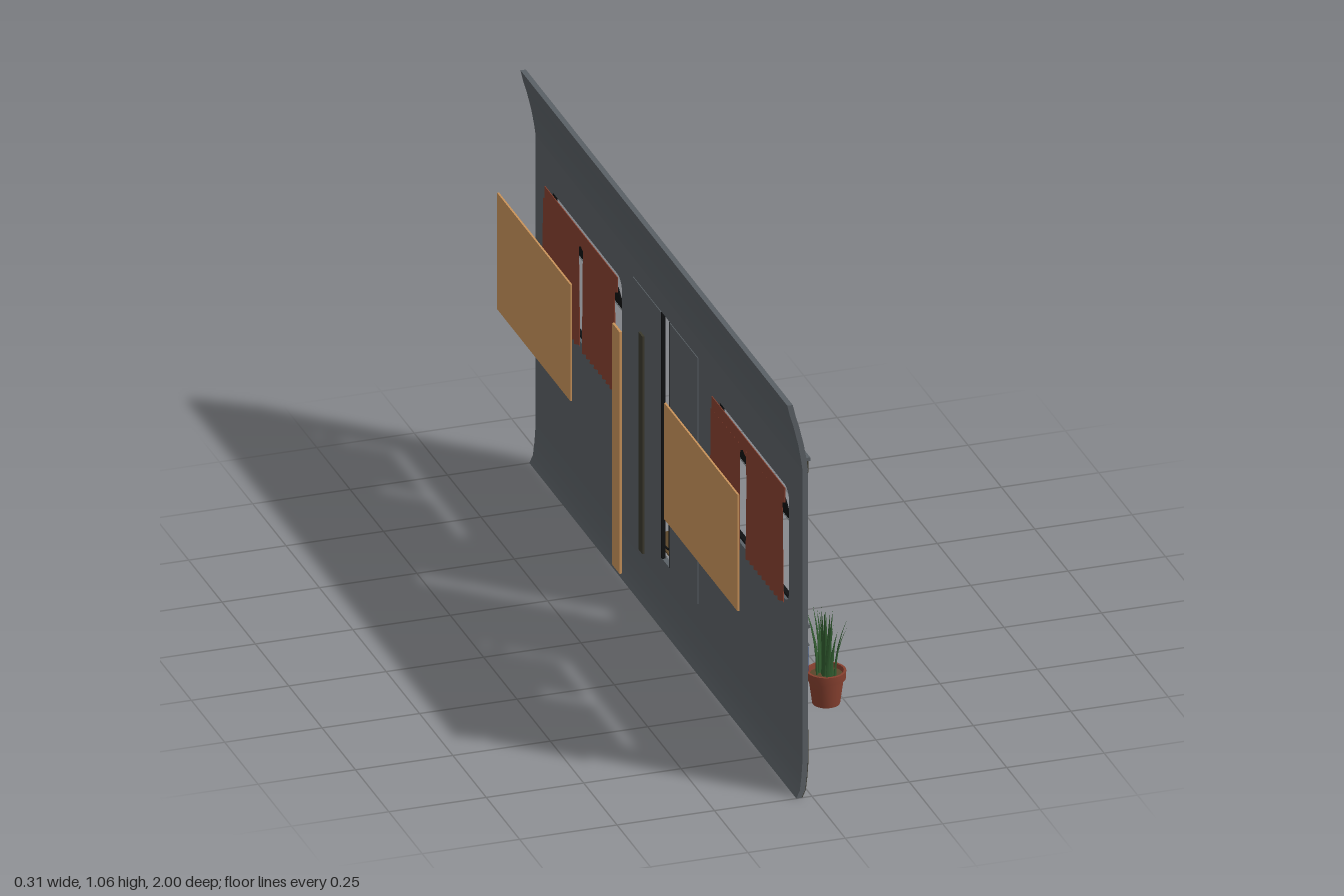
import * as THREE from 'three';
import { toCreasedNormals } from 'three/addons/utils/BufferGeometryUtils.js';

const mat = (name, color, side = THREE.FrontSide) => {
  const m = new THREE.MeshStandardMaterial({ color, side });
  m.name = name;
  return m;
};

export function createModel() {
  const M = {
    wall: mat('steel grey', 0x5a6065),
    grime: mat('olive grime', 0x3b392d),
    blue: mat('stripe blue', 0x2c4a86),
    red: mat('terracotta red', 0x86402f, THREE.DoubleSide),
    black: mat('rubber black', 0x101112),
    wood: mat('warm wood', 0xc8925a),
    crate: mat('weathered wood', 0x7a6c5e),
    brown: mat('mat brown', 0x5a4529),
    green: mat('leaf green', 0x2f5a2e, THREE.DoubleSide),
    light: mat('pale metal', 0x878d91),
  };
  // Working frame: x along the wall, y up, z outward; turned to face +x at the end
  const car = new THREE.Group();
  car.name = 'carriageSide';
  const FACE = -0.01, T = 0.014;

  const add = (name, geo, m, parent = car) => {
    const mesh = new THREE.Mesh(geo, m);
    mesh.name = name;
    parent.add(mesh);
    return mesh;
  };
  const box = (name, x0, x1, y0, y1, z0, z1, m, parent) => {
    const b = add(name, new THREE.BoxGeometry(x1 - x0, y1 - y0, z1 - z0), m, parent);
    b.position.set((x0 + x1) / 2, (y0 + y1) / 2, (z0 + z1) / 2);
    return b;
  };
  const poly = pts => new THREE.Shape(pts.map(p => new THREE.Vector2(p[0], p[1])));
  const rect = (x0, x1, y0, y1) => poly([[x0, y0], [x1, y0], [x1, y1], [x0, y1]]);
  const rounded = (x0, x1, y0, y1, r) => {
    const s = new THREE.Shape();
    s.absarc(x1 - r, y0 + r, r, -Math.PI / 2, 0);
    s.absarc(x1 - r, y1 - r, r, 0, Math.PI / 2);
    s.absarc(x0 + r, y1 - r, r, Math.PI / 2, Math.PI);
    s.absarc(x0 + r, y0 + r, r, Math.PI, Math.PI * 1.5);
    return s;
  };
  const plate = (name, shape, z, depth, m) => {
    const g = new THREE.ExtrudeGeometry(shape, { depth, bevelEnabled: false, curveSegments: 6 });
    return add(name, g.translate(0, 0, z), m);
  };
  // Sweeps an outer (z, y) profile of given thickness along the whole wall
  const sweep = (name, pts, thick, m) => {
    const back = pts.map(p => [p[0] - thick, p[1]]).reverse();
    const g = new THREE.ExtrudeGeometry(poly([...pts, ...back]), { depth: 2, bevelEnabled: false });
    g.rotateY(-Math.PI / 2).translate(1, 0, 0);
    add(name, toCreasedNormals(g, 0.5), m);
  };
  const tube = (name, pts, r, m) => {
    const path = new THREE.CurvePath();
    const v = pts.map(p => new THREE.Vector3(...p));
    for (let i = 1; i < v.length; i++) path.add(new THREE.LineCurve3(v[i - 1], v[i]));
    add(name, new THREE.TubeGeometry(path, 24, r, 6), m);
  };

  // Wall with window and door openings, curved roof edge and tucked-in sill
  const wall = rect(-1, 1, 0.1, 0.88);
  const W = [[-0.9, -0.352], [0.352, 0.9]], Y0 = 0.475, Y1 = 0.783;
  W.forEach(([a, b]) => wall.holes.push(rounded(a, b, Y0, Y1, 0.035)));
  wall.holes.push(rect(-0.222, 0.23, 0.168, 0.83));
  plate('wallPanel', wall, FACE - T, T, M.wall);
  sweep('roofEdge', [[-0.01, 0.88], [-0.014, 0.91], [-0.021, 0.95], [-0.033, 1], [-0.042, 1.03], [-0.049, 1.06]], T, M.wall);
  const sill = [[-0.026, 0], [-0.017, 0.02], [-0.013, 0.055], [-0.01, 0.1]];
  sweep('sill', sill, T, M.wall);
  sweep('sillGrime', sill.map(p => [p[0] + 0.0015, p[1]]), 0.001, M.grime);

  // Uneven dirt along the bottom and under the gutter
  const low = [[-1, 0.1], [1, 0.1], [1, 0.17], [0.8, 0.17], [0.72, 0.165], [0.5, 0.168], [0.36, 0.17], [0.32, 0.16], [0.29, 0.172], [0.23, 0.166], [-0.22, 0.166],
    [-0.27, 0.178], [-0.34, 0.16], [-0.4, 0.148], [-0.48, 0.16], [-0.52, 0.18], [-0.6, 0.176], [-0.7, 0.18], [-0.77, 0.19], [-0.85, 0.172], [-1, 0.18]];
  plate('lowerGrime', poly(low), FACE, 0.0015, M.grime);
  const high = [[-1, 0.905], [-1, 0.872]];
  for (let i = 1; i < 20; i++) high.push([-1 + i / 10, 0.874 + 0.004 * Math.sin(i * 2.3)]);
  high.push([1, 0.872], [1, 0.905]);
  plate('upperGrime', poly(high), FACE - 0.002, 0.003, M.grime);
  box('gutter', -1, 1, 0.903, 0.912, -0.016, -0.004, M.wall);
  [[-0.435, 0.77, 0.88], [0.265, 0.76, 0.88], [-0.375, 0.37, 0.46], [0.875, 0.4, 0.46]].forEach(([x, a, b], i) =>
    box('streak', x - 0.003, x + 0.003, a, b, FACE, FACE + 0.002, i < 2 ? M.grime : M.brown));
  [[-0.71, 0.153, 0.02], [-0.36, 0.057, 0.032], [0.24, 0.153, 0.024]].forEach(([x, y, r]) => {
    const p = add('rustPatch', new THREE.CylinderGeometry(r, r, 0.004, 9), M.brown);
    p.rotation.x = Math.PI / 2;
    p.scale.z = 0.4;
    p.position.set(x, y, FACE + 0.0005);
  });

  // Stripe, mouldings and seams on each side of the door
  [[-1, -0.222], [0.23, 1]].forEach(([a, b]) => {
    box('blueStripe', a, b, 0.337, 0.403, FACE, FACE + 0.0015, M.blue);
    box('moulding', a, b, 0.453, 0.462, FACE, FACE + 0.005, M.wall);
    box('moulding', a, b, 0.405, 0.41, FACE, FACE + 0.004, M.wall);
  });
  [[-0.967, 0.18, 0.87], [0.967, 0.18, 0.87], [-0.967, 0.02, 0.085], [0.967, 0.02, 0.085], [-0.755, 0.18, 0.335], [0.3, 0.17, 0.335]].forEach(([x, a, b]) =>
    box('seam', x - 0.002, x + 0.002, a, b, FACE - 0.004, FACE + 0.002, M.black));

  // Windows: rubber frame, tilted hopper glass, valance, pleated curtains, board behind
  const gaps = [[-0.618, -0.582], [0.602, 0.63]];
  W.forEach(([a, b], k) => {
    const frame = rounded(a - 0.008, b + 0.008, Y0 - 0.008, Y1 + 0.008, 0.043);
    frame.holes.push(rounded(a + 0.006, b - 0.006, Y0 + 0.006, Y1 - 0.006, 0.03));
    plate('windowFrame', frame, FACE - 0.006, 0.012, M.black);
    const glass = box('hopperGlass', a + 0.008, b - 0.008, 0.69, 0.76, -0.024, -0.021, M.black);
    glass.rotation.x = -0.25;
    box('hopperRail', a + 0.008, b - 0.008, 0.687, 0.691, -0.016, -0.011, M.light);

    const val = [[a, 0.79]], n = 14, w = (b - a) / n;
    for (let i = 0; i < n; i++) val.push([a + i * w, 0.75], [a + (i + 0.5) * w, 0.742]);
    val.push([b, 0.75], [b, 0.79]);
    plate('valance', poly(val), -0.036, 0.002, M.red);

    [[a + 0.004, gaps[k][0]], [gaps[k][1], b - 0.004]].forEach(([c, d]) => {
      const g = new THREE.PlaneGeometry(d - c, 0.285, 64, 4).translate((c + d) / 2, 0.622, -0.04);
      const p = g.attributes.position;
      for (let i = 0; i < p.count; i++) {
        const amp = 0.002 + 0.012 * (0.77 - p.getY(i));
        p.setZ(i, p.getZ(i) + amp * Math.sin(p.getX(i) * 210));
      }
      g.computeVertexNormals();
      add('curtain', g, M.red);
    });
    box('windowBoard', a, b, 0.477, 0.79, -0.157, -0.152, M.wood);
  });

  // Sliding door leaves, the right one left ajar
  [[-0.218, -0.008, -0.18, -0.04], [0.056, 0.268, 0.088, 0.226]].forEach(([a, b, wa, wb], i) => {
    const z = -0.018, end = Math.min(b, 0.23);
    box('doorLeaf', a, b, 0.168, 0.83, z - 0.008, z, M.wall);
    plate('doorWindow', rounded(wa, wb, 0.497, 0.752, 0.03), z, 0.003, M.black);
    box('doorStripe', a, end, 0.337, 0.403, z, z + 0.0015, M.blue);
    box('kickPlate', a, end - (i ? 0.02 : 0), 0.17, 0.256, z, z + 0.002, M.light);
    box('doorSeal', i ? a - 0.006 : b, i ? a : b + 0.004, 0.168, 0.83, z - 0.007, z + 0.002, M.black);
  });
  box('doorRail', -0.215, 0.225, 0.824, 0.838, -0.01, 0, M.light);
  box('innerPost', 0.028, 0.057, 0.2, 0.785, -0.083, -0.077, M.grime);
  box('innerBoard', 0, 0.056, 0.17, 0.82, -0.151, -0.145, M.wood);
  tube('cable', [[0.05, 0.43, -0.012], [0.052, 0.32, -0.004], [0.055, 0.19, -0.004], [0.075, 0.178, 0], [0.13, 0.176, -0.003]], 0.0025, M.black);
  box('doorMat', -0.18, 0.185, 0.169, 0.173, -0.005, 0.155, M.brown);

  // Blank hanging board
  box('signBoard', 0.315, 0.75, 0.833, 0.893, 0.006, 0.012, M.crate);
  [0.36, 0.7].forEach(x => tube('signHanger', [[x, 0.908, -0.012], [x, 0.89, 0.008]], 0.002, M.black));

  // Bracket lamp
  tube('lampArm', [[-0.245, 0.85, -0.008], [-0.245, 0.907, -0.012], [-0.24, 0.9, 0.048], [-0.235, 0.865, 0.055]], 0.0025, M.black);
  const shade = add('lampShade', new THREE.ConeGeometry(0.012, 0.014, 10), M.black);
  shade.position.set(-0.235, 0.862, 0.055);
  const bulb = add('lampBulb', new THREE.SphereGeometry(0.008, 10, 8), M.wood);
  bulb.position.set(-0.235, 0.85, 0.055);

  // Slatted crates and a closed box
  const crate = (x0, x1, y0, y1, z1) => {
    const g = new THREE.Group();
    g.name = 'crate';
    car.add(g);
    const t = 0.005, h = (y1 - y0) / 3;
    for (let i = 0; i < 3; i++) {
      const a = y0 + i * h + 0.003, b = y0 + (i + 1) * h - 0.004;
      box('slat', x0, x1, a, b, z1 - t, z1, M.crate, g);
      box('slat', x0, x1, a, b, 0, t, M.crate, g);
      box('slat', x0, x0 + t, a, b, t, z1 - t, M.crate, g);
      box('slat', x1 - t, x1, a, b, t, z1 - t, M.crate, g);
    }
    [x0 + t, x1 - 3 * t].forEach(x => [t, z1 - 3 * t].forEach(z =>
      box('cornerPost', x, x + 2 * t, y0, y1, z, z + 2 * t, M.crate, g)));
    box('crateFloor', x0 + t, x1 - t, y0, y0 + t, t, z1 - t, M.crate, g);
  };
  crate(0.365, 0.538, 0.172, 0.272, 0.13);
  crate(0.39, 0.53, 0.274, 0.367, 0.12);
  box('closedBox', 0.58, 0.715, 0.172, 0.265, 0, 0.126, M.crate);
  box('paperScrap', 0.575, 0.61, 0.265, 0.283, 0.03, 0.034, M.light);

  // Potted plant
  const plant = new THREE.Group();
  plant.name = 'pottedPlant';
  plant.position.set(-0.85, 0.171, 0.088);
  car.add(plant);
  const profile = [[0, 0], [0.034, 0], [0.043, 0.066], [0.048, 0.066], [0.049, 0.088], [0.043, 0.088], [0.041, 0.076]];
  const pot = new THREE.LatheGeometry(profile.map(p => new THREE.Vector2(...p)), 20);
  add('pot', toCreasedNormals(pot, 0.6), M.red, plant);
  const soil = add('soil', new THREE.CylinderGeometry(0.041, 0.041, 0.004, 16), M.brown, plant);
  soil.position.y = 0.075;
  for (let i = 0; i < 17; i++) {
    const h = 0.13 + 0.06 * ((i * 7) % 5) / 4, r = 0.008 + 0.014 * ((i * 3) % 4) / 3;
    const g = new THREE.ConeGeometry(0.009, h, 6, 4).scale(1, 1, 0.35).translate(0, h / 2, 0);
    const p = g.attributes.position;
    for (let j = 0; j < p.count; j++) {
      const s = p.getY(j) / h;
      p.setZ(j, p.getZ(j) + r + s * s * r * 1.3);
    }
    g.computeVertexNormals();
    const leaf = add('leaf', g, M.green, plant);
    leaf.position.y = 0.075;
    leaf.rotation.y = i * 2.4;
  }

  car.rotation.y = Math.PI / 2;
  const root = new THREE.Group();
  root.name = 'carriageFacade';
  root.add(car);
  return root;
}
